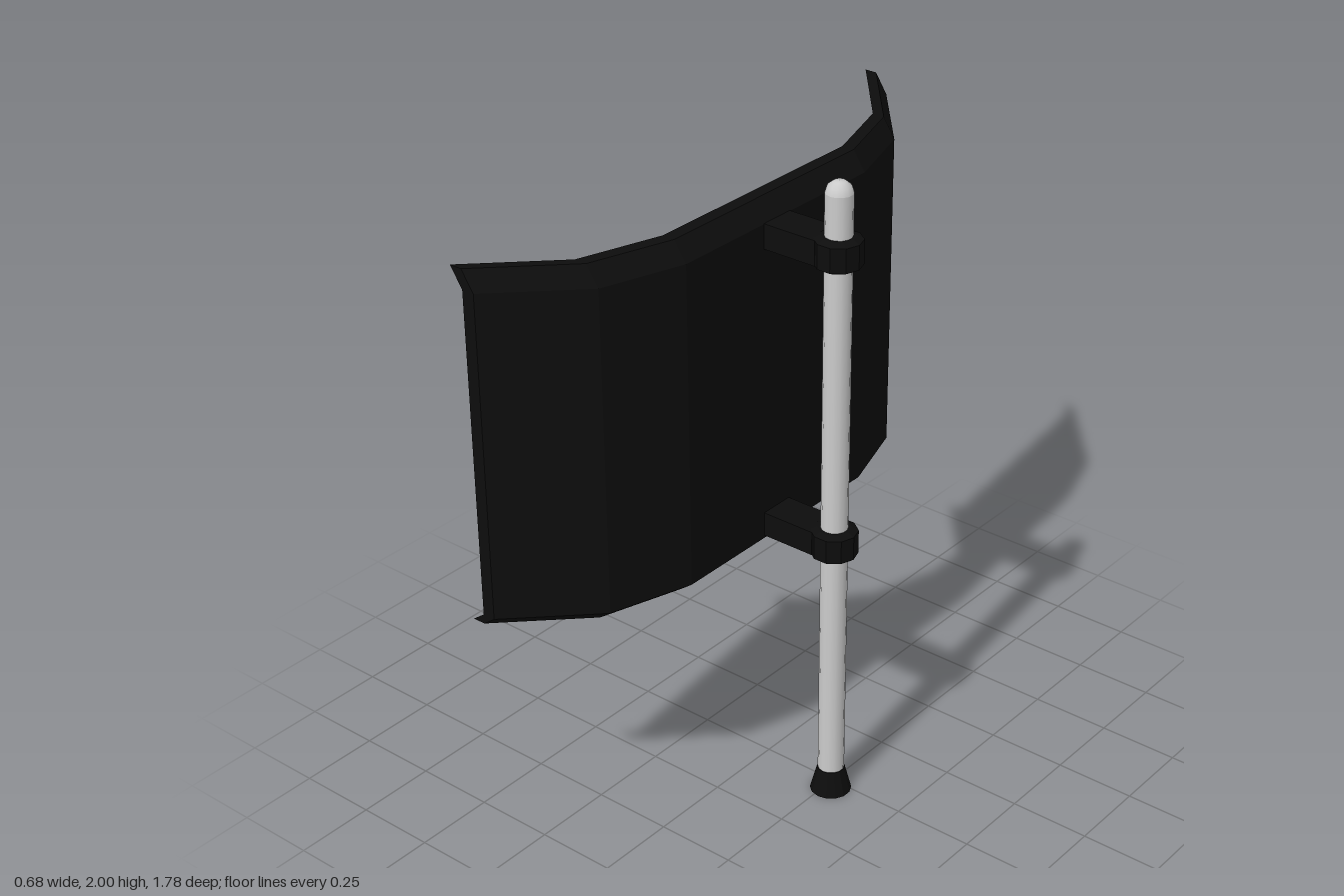
import * as THREE from 'three';

const black = new THREE.MeshStandardMaterial({ color: 0x0d0d0d, flatShading: true });
const grey = new THREE.MeshStandardMaterial({ color: 0xcccccc });
const POLE_X = 0.265, POLE_Z = 0.03;

function add(parent, name, geometry, material, x = 0, y = 0, z = 0) {
  const mesh = new THREE.Mesh(geometry, material);
  mesh.name = name;
  mesh.position.set(x, y, z);
  parent.add(mesh);
  return mesh;
}

const lathe = (points, sides) =>
  new THREE.LatheGeometry(points.map(([r, y]) => new THREE.Vector2(r, y)), sides);

// Sweeps one upright cross-section along the bent plan line of the panel
function panelGeometry() {
  // [x, y]: outer face upwards, then inner face downwards, with lips bent to -x
  const section = [
    [-0.04, 0.80], [0, 0.83], [0, 1.83], [-0.04, 1.89],
    [-0.08, 1.89], [-0.04, 1.83], [-0.04, 0.83], [-0.08, 0.80],
  ];
  // [x, z] of the outer face
  const plan = [
    [-0.26, -0.89], [-0.03, -0.62], [0.05, -0.37],
    [0.05, 0.41], [-0.03, 0.665], [-0.26, 0.89],
  ];
  const n = section.length, last = plan.length - 1;
  const positions = [], index = [];
  for (const [px, pz] of plan)
    for (const [x, y] of section) positions.push(px + x, y, pz);
  const quad = (a, b, c, d) => index.push(a, b, c, a, c, d);

  for (let s = 0; s < last; s++)
    for (let k = 0; k < n; k++) {
      const j = (k + 1) % n;
      quad(s * n + k, s * n + j, (s + 1) * n + j, (s + 1) * n + k);
    }
  // End caps
  for (let k = 0; k < 3; k++) {
    const e = last * n;
    quad(e + k, e + k + 1, e + 6 - k, e + 7 - k);
    quad(7 - k, 6 - k, k + 1, k);
  }
  const geometry = new THREE.BufferGeometry();
  geometry.setAttribute('position', new THREE.Float32BufferAttribute(positions, 3));
  geometry.setIndex(index);
  geometry.computeVertexNormals();
  return geometry;
}

// Clamp: chamfered collar round the pole and an arm to the panel
function createBracket(name, y) {
  const bracket = new THREE.Group();
  bracket.name = name;
  bracket.position.set(POLE_X, y, POLE_Z);
  const collar = lathe(
    [[0.035, -0.047], [0.05, -0.047], [0.07, -0.037], [0.07, 0.037], [0.05, 0.047], [0.035, 0.047]], 10);
  add(bracket, 'collar', collar, black).rotation.y = Math.PI / 10;
  add(bracket, 'arm', new THREE.BoxGeometry(0.2, 0.076, 0.114), black, -0.14, 0, -0.003);
  return bracket;
}

export function createModel() {
  const model = new THREE.Group();
  model.name = 'panelOnPole';

  add(model, 'curvedPanel', panelGeometry(), black);

  // Pole with a rounded tip
  add(model, 'pole', lathe([[0.04, 0.07], [0.04, 1.965]], 14), grey, POLE_X, 0, POLE_Z);
  add(model, 'poleTip', lathe([[0.04, 1.965], [0.034, 1.985], [0.018, 1.998], [0, 2]], 14), grey, POLE_X, 0, POLE_Z);

  // Flared foot
  add(model, 'foot', new THREE.CylinderGeometry(0.042, 0.063, 0.08, 14), black, POLE_X, 0.04, POLE_Z);

  model.add(createBracket('upperBracket', 1.793), createBracket('lowerBracket', 0.877));
  return model;
}
